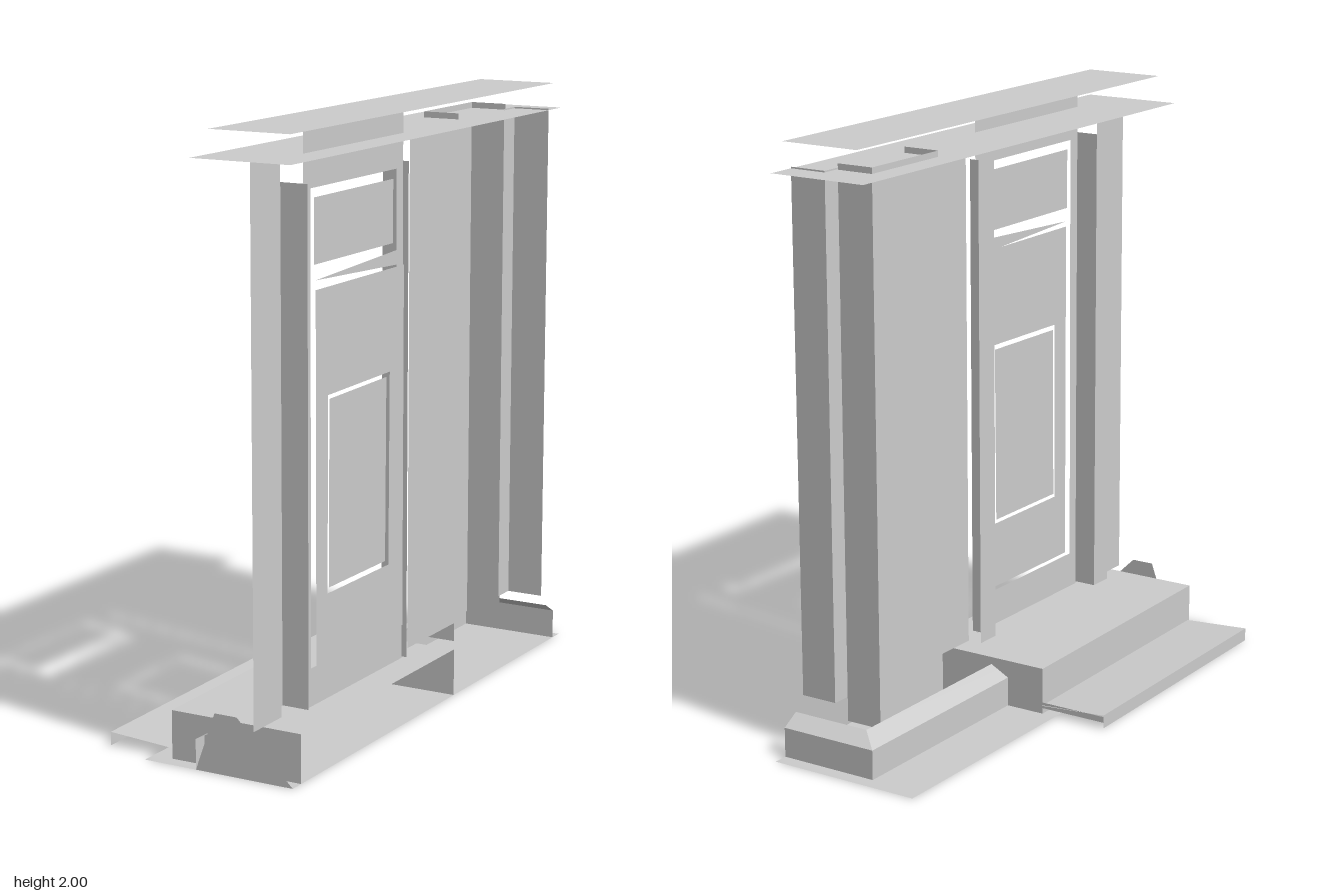
import * as THREE from 'three';

const thin = new THREE.MeshStandardMaterial({ color: 0xcccccc, flatShading: true, side: THREE.DoubleSide });
const oneSided = new THREE.MeshStandardMaterial({ color: 0xcccccc, flatShading: true });

// Sheet spanning two rows of [x, y, z] points
function sheet(name, rowA, rowB, material = thin) {
  const positions = [];
  for (let i = 0; i < rowA.length - 1; i++) {
    const a = rowA[i], b = rowA[i + 1], c = rowB[i + 1], d = rowB[i];
    positions.push(...a, ...b, ...c, ...a, ...c, ...d);
  }
  const geometry = new THREE.BufferGeometry();
  geometry.setAttribute('position', new THREE.Float32BufferAttribute(positions, 3));
  geometry.computeVertexNormals();
  const mesh = new THREE.Mesh(geometry, material);
  mesh.name = name;
  return mesh;
}

// Vertical wall following a plan path of [x, z] points
function wall(name, path, y0, y1, material = thin) {
  return sheet(name, path.map(([x, z]) => [x, y0, z]), path.map(([x, z]) => [x, y1, z]), material);
}

// Horizontal plate
function plate(name, x0, x1, z0, z1, y) {
  return sheet(name, [[x0, y, z0], [x0, y, z1]], [[x1, y, z0], [x1, y, z1]]);
}

// Flat panel facing x, outlined by [z, y] points, with optional holes
function panel(name, x, outline, holes = []) {
  const toPoints = (pts) => pts.map(([z, y]) => new THREE.Vector2(-z, y));
  const shape = new THREE.Shape(toPoints(outline));
  for (const hole of holes) shape.holes.push(new THREE.Path(toPoints(hole)));
  const mesh = new THREE.Mesh(new THREE.ShapeGeometry(shape), thin);
  mesh.name = name;
  mesh.rotation.y = Math.PI / 2;
  mesh.position.x = x;
  return mesh;
}

const rect = (z0, z1, y0, y1) => [[z0, y0], [z1, y0], [z1, y1], [z0, y1]];

function group(name, ...parts) {
  const g = new THREE.Group();
  g.name = name;
  g.add(...parts);
  return g;
}

export function createModel() {
  const model = new THREE.Group();
  model.name = 'doorwayFacade';

  // Ground plate, plinth moulding and its end cap
  const outer = [[0.02, 0.94], [0.02, -0.89], [0.37, -0.89]];
  const inner = [[0.087, 0.94], [0.087, -0.83], [0.37, -0.83]];
  const at = (path, y) => path.map(([x, z]) => [x, y, z]);
  const cap = new THREE.Mesh(new THREE.ShapeGeometry(new THREE.Shape([
    new THREE.Vector2(0.02, 0), new THREE.Vector2(0.37, 0),
    new THREE.Vector2(0.17, 0.195), new THREE.Vector2(0.09, 0.195),
  ])), thin);
  cap.name = 'plinthEndCap';
  cap.position.z = 0.94;
  model.add(group('base',
    plate('groundPlate', -0.17, 0.37, -0.94, 0.94, 0),
    wall('plinthSide', outer, 0, 0.1),
    sheet('plinthBevel', at(outer, 0.1), at(inner, 0.135)),
    cap));

  // Upper step in front of the door, slightly skewed
  const stepFront = [[-0.12, -0.12], [-0.1, 0.89]];
  model.add(group('upperStep',
    sheet('stepTop', at(stepFront, 0.16), [[0.37, 0.16, -0.12], [0.37, 0.16, 0.89]]),
    wall('stepRiser', stepFront, 0, 0.16, oneSided),
    wall('stepEndLeft', [[-0.1, 0.89], [0.37, 0.89]], 0, 0.16),
    wall('stepEndRight', [[-0.12, -0.12], [0.37, -0.12]], 0, 0.16)));

  // Low outer step
  model.add(group('lowerStep',
    sheet('treadTop',
      [[-0.36, 0.045, -0.12], [-0.34, 0.045, 0.88]],
      [[-0.12, 0.03, -0.125], [-0.1, 0.03, 0.88]]),
    wall('treadRiser', [[-0.36, -0.12], [-0.34, 0.88]], 0, 0.045),
    wall('treadEnd', [[-0.36, -0.12], [-0.12, -0.12]], 0.02, 0.04)));

  // Walls and corner column
  model.add(group('walls',
    wall('frontWall', [[0.235, 0.945], [0.235, 0.78]], 0.16, 1.91),
    wall('middleWall', [[0.235, -0.04], [0.235, -0.38]], 0.165, 1.91),
    wall('cornerColumn', [[0.235, -0.38], [0.105, -0.38], [0.105, -0.73], [0.235, -0.73]], 0.1, 1.93),
    wall('rearWall', [[0.24, -0.71], [0.24, -0.79], [0.37, -0.79]], 0.18, 1.915)));

  // Pilasters with returns into the door recess
  for (const [side, outside, inside] of [['left', 0.78, 0.69], ['right', -0.04, 0.05]]) {
    model.add(group(side + 'Pilaster',
      wall('pilasterFace', [[0.185, outside], [0.185, inside]], 0.165, 1.91),
      wall('pilasterReturn', [[0.185, inside], [0.28, inside]], 0.165, 1.82)));
  }

  // Door frame, door leaf, glazing and transom
  model.add(group('door',
    panel('doorFrame', 0.262,
      [[0.685, 0.16], [0.05, 0.16], [0.055, 2], [0.685, 2]].map(([z, y]) => [z, y]),
      [[[0.645, 0.285], [0.085, 0.285], [0.1, 1.8], [0.64, 1.8]]]),
    panel('doorLeaf', 0.282, rect(0.645, 0.083, 0.285, 1.49),
      [[[0.575, 0.515], [0.18, 0.515], [0.175, 1.155], [0.57, 1.15]]]),
    panel('doorGlass', 0.278, [[0.56, 0.53], [0.195, 0.53], [0.19, 1.14], [0.555, 1.135]]),
    panel('transomGlass', 0.262, rect(0.62, 0.12, 1.563, 1.77)),
    panel('transomBar', 0.266, [[0.62, 1.515], [0.07, 1.49], [0.075, 1.54]])));

  // Cornice plates
  model.add(group('cornice',
    plate('lowerCornice', 0.02, 0.37, -0.89, 0.94, 1.91),
    plate('upperCornice', 0.087, 0.37, -0.83, 0.94, 2)));

  return model;
}
